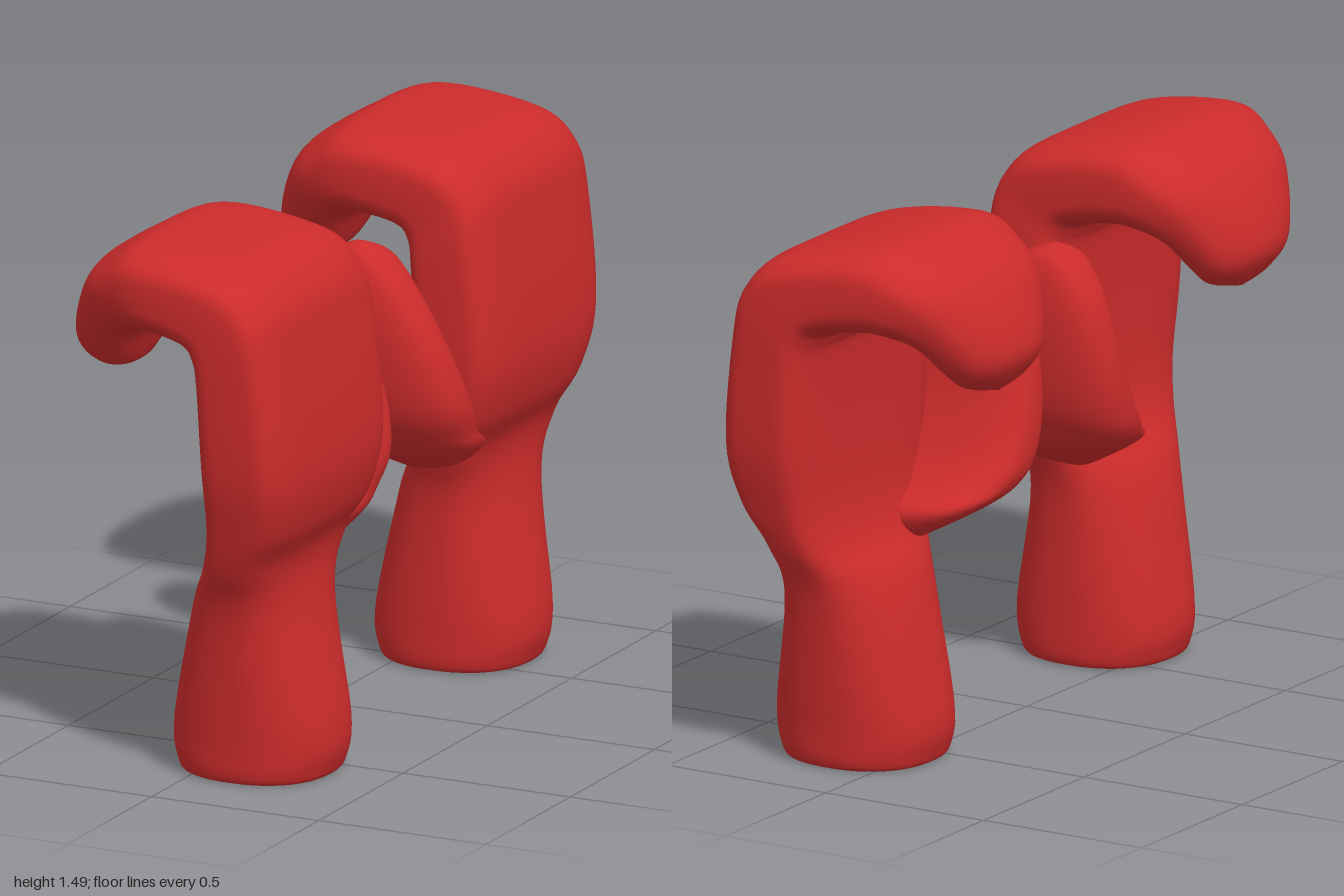
import * as THREE from 'three';

const SIDES = 48, STEPS = 6;

// Cross-sections: [outer x, outer y, inner x, inner y, z min, z max, squareness]
// Cuff, wrist, palm, then over the knuckles to the curled fingertips
const HAND = [
  [0.345, 0.03, -0.09, 0.03, 0.38, 0.81, 2.3],
  [0.36, 0.15, -0.1, 0.15, 0.375, 0.82, 2.3],
  [0.295, 0.48, -0.015, 0.48, 0.365, 0.86, 2.5],
  [0.29, 0.63, 0.065, 0.63, 0.32, 0.92, 3.2],
  [0.345, 0.75, 0.095, 0.75, 0.29, 0.955, 4],
  [0.37, 0.92, 0.1, 0.92, 0.273, 0.99, 4.6],
  [0.335, 1.23, 0.095, 1.15, 0.273, 1, 5],
  [0.3, 1.37, 0.08, 1.21, 0.28, 1, 4.5],
  [0.19, 1.457, 0.05, 1.24, 0.28, 0.995, 4.2],
  [-0.08, 1.5, -0.05, 1.25, 0.285, 0.975, 3.6],
  [-0.2, 1.46, -0.11, 1.235, 0.3, 0.945, 3],
  [-0.3, 1.38, -0.17, 1.2, 0.34, 0.89, 2.6],
  [-0.375, 1.21, -0.21, 1.12, 0.425, 0.795, 2.3],
  [-0.345, 1.12, -0.235, 1.09, 0.49, 0.72, 2.2],
  [-0.295, 1.075, -0.295, 1.075, 0.605, 0.605, 2],
];

// Hollow cuff lining: the cuff edge drawn in by an inset at a given height
const [RX, , LX, , Z0, Z1, N] = HAND[0];
const LINING = [[0.215, 0.35], [0.075, 0.33], [0.075, 0.1], [0.065, 0.025], [0.025, 0.006]]
  .map(([d, y]) => [RX - d, y, LX + d, y, Z0 + d, Z1 - d, N]);

// Thumb: [y, x min, x max, z min, z max]
const THUMB = [
  [0.52, 0.16, 0.16, 0.46, 0.46],
  [0.65, -0.08, 0.285, 0.23, 0.52],
  [0.72, -0.15, 0.305, 0.155, 0.43],
  [0.81, -0.165, 0.315, 0.11, 0.36],
  [0.95, -0.155, 0.28, 0.09, 0.3],
  [1.1, -0.12, 0.205, 0.09, 0.27],
  [1.21, -0.05, 0.115, 0.115, 0.253],
  [1.25, 0.025, 0.025, 0.18, 0.18],
].map(([y, x0, x1, z0, z1]) => [x1, y, x0, y, z0, z1, 2.6]);

// Smooth interpolation of one number through four neighbours
function spline(a, b, c, d, t) {
  return b + 0.5 * t * (c - a + t * (2 * a - 5 * b + 4 * c - d + t * (3 * (b - c) + d - a)));
}

// Skin a list of superellipse sections; sign = -1 mirrors across z
function loft(sections, sign) {
  const last = sections.length - 1, rings = last * STEPS;
  const pos = [], index = [];
  for (let i = 0; i <= rings; i++) {
    const k = Math.min(Math.floor(i / STEPS), last - 1), t = i / STEPS - k;
    const at = (j) => sections[Math.max(0, Math.min(last, j))];
    const [ox, oy, ix, iy, z0, z1, n] = sections[0].map((_, m) =>
      spline(at(k - 1)[m], at(k)[m], at(k + 1)[m], at(k + 2)[m], t));
    for (let j = 0; j < SIDES; j++) {
      const a = (j / SIDES) * Math.PI * 2, c = Math.cos(a), s = Math.sin(a);
      const u = Math.sign(c) * Math.abs(c) ** (2 / n) / 2;
      const v = Math.sign(s) * Math.abs(s) ** (2 / n) / 2;
      pos.push((ox + ix) / 2 + (ox - ix) * u, (oy + iy) / 2 + (oy - iy) * u,
        sign * ((z0 + z1) / 2 + (z1 - z0) * v));
      if (i < rings) {
        const p = i * SIDES + j, q = i * SIDES + (j + 1) % SIDES;
        if (sign > 0) index.push(p, p + SIDES, q, q, p + SIDES, q + SIDES);
        else index.push(p, q, p + SIDES, q, q + SIDES, p + SIDES);
      }
    }
  }
  const geo = new THREE.BufferGeometry();
  geo.setAttribute('position', new THREE.Float32BufferAttribute(pos, 3));
  geo.setIndex(index);
  geo.computeVertexNormals();
  return geo;
}

export function createModel() {
  const model = new THREE.Group();
  model.name = 'boxingGloves';
  const red = new THREE.MeshStandardMaterial({ color: 0xcc2b2b });
  // A mirrored pair, thumbs facing each other
  for (const [name, sign] of [['frontGlove', 1], ['backGlove', -1]]) {
    const glove = new THREE.Group();
    glove.name = name;
    for (const [part, sections] of [['cuffAndHand', [...LINING, ...HAND]], ['thumb', THUMB]]) {
      const mesh = new THREE.Mesh(loft(sections, sign), red);
      mesh.name = part;
      glove.add(mesh);
    }
    model.add(glove);
  }
  return model;
}
